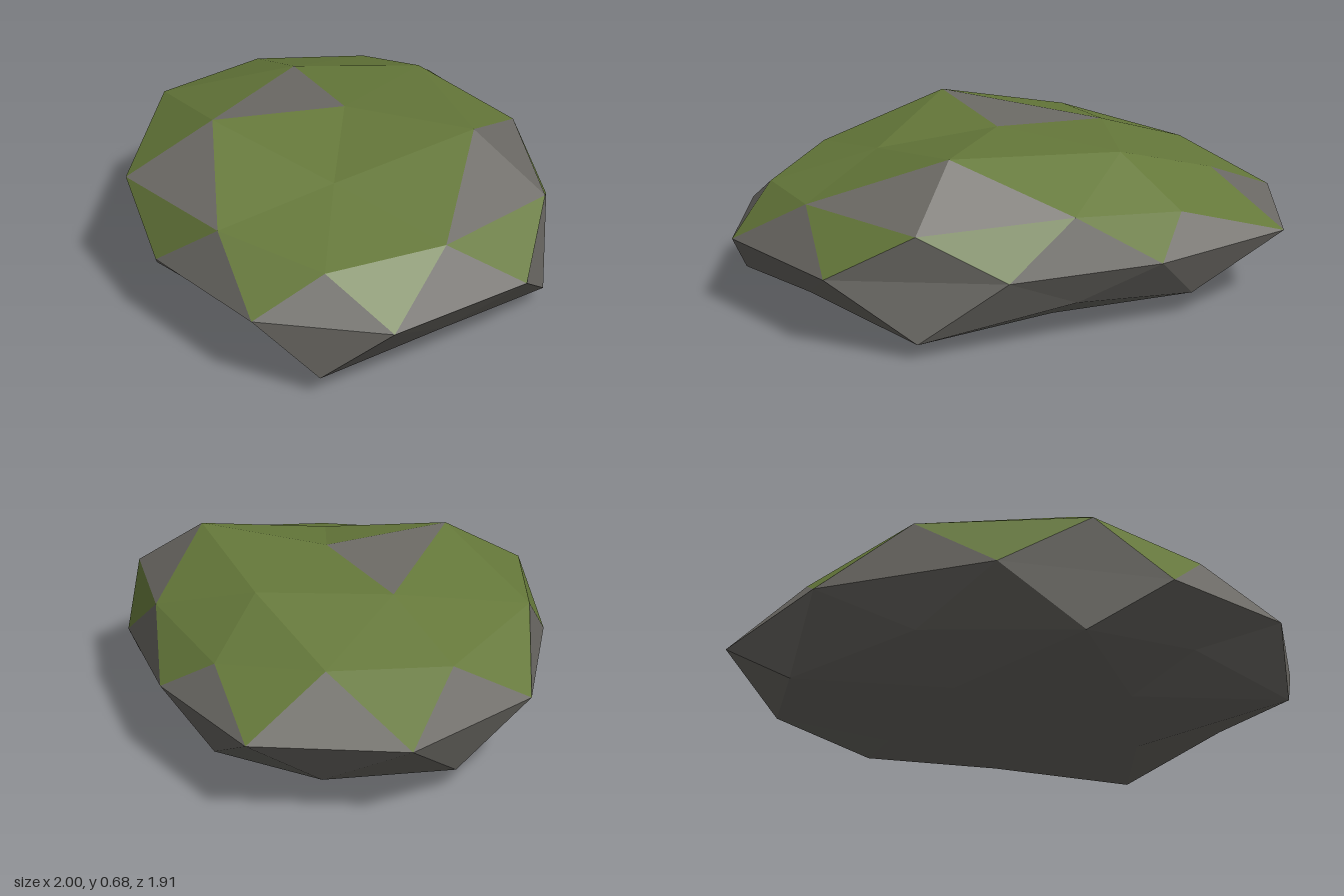
import * as THREE from 'three';

// Cross-section rings of the boulder as [x, y, z], running left-front-right-back seen from above.
const crown = [0.02, 0.655, 0.05];
const crownRing = [ // one point above every odd shoulder point
  [-0.20, 0.68, 0.53], [0.34, 0.575, 0.40], [0.53, 0.68, -0.14], [-0.09, 0.625, -0.47], [-0.46, 0.61, -0.11],
];
const shoulder = [
  [-0.77, 0.53, 0.33], [-0.35, 0.49, 0.84], [0.20, 0.49, 0.84], [0.63, 0.45, 0.71], [0.83, 0.49, 0.31],
  [0.82, 0.48, -0.23], [0.34, 0.50, -0.58], [-0.13, 0.43, -0.73], [-0.55, 0.475, -0.59], [-0.85, 0.47, -0.24],
];
const rim = [ // rim[i] lies between shoulder[i] and shoulder[i + 1]
  [-0.63, 0.64], [-0.05, 0.94], [0.51, 0.95], [0.91, 0.64], [1.0, 0.06],
  [0.61, -0.49], [0.09, -0.80], [-0.51, -0.96], [-0.97, -0.61], [-1.0, 0.04],
].map(([x, z]) => [x, 0.3, z]);
const foot = [
  [-0.72, 0.13, 0.29], [-0.31, 0.09, 0.75], [0.20, 0.15, 0.79], [0.70, 0.085, 0.80], [0.83, 0.14, 0.31],
  [0.83, 0.07, -0.24], [0.31, 0.155, -0.57], [-0.16, 0.10, -0.77], [-0.65, 0.13, -0.72], [-0.89, 0.08, -0.26],
];
const baseRing = [ // one point below every even foot point
  [-0.47, 0.005, 0.20], [0.10, 0.015, 0.55], [0.48, 0.025, 0.18], [0.19, 0.02, -0.36], [-0.34, 0.01, -0.38],
];
const base = [0.02, 0.003, 0.03];

// Facets gathered into one flat-shaded mesh
function facetMesh(name, triangles, material) {
  const geometry = new THREE.BufferGeometry();
  geometry.setAttribute('position', new THREE.Float32BufferAttribute(triangles.flat(2), 3));
  geometry.computeVertexNormals();
  const mesh = new THREE.Mesh(geometry, material);
  mesh.name = name;
  return mesh;
}

// Cap of 20 facets: a pole, an inner ring of 5 and an outer ring of 10.
// 'offset' is the outer index lined up with inner point 0.
function capFacets(pole, inner, outer, offset) {
  const facets = [];
  for (let k = 0; k < 5; k++) {
    const a = inner[k], b = inner[(k + 1) % 5];
    const i = 2 * k + offset;
    const u = outer[i % 10], mid = outer[(i + 1) % 10], v = outer[(i + 2) % 10];
    facets.push([pole, a, b], [a, u, mid], [a, mid, b], [b, mid, v]);
  }
  return facets;
}

export function createModel() {
  const stone = new THREE.MeshStandardMaterial({ color: 0x6c6a65 });
  stone.name = 'grey stone';
  const moss = new THREE.MeshStandardMaterial({ color: 0x65783a });
  moss.name = 'green moss';

  const mossTop = [], stonePatches = [], stoneBase = [];

  // Crown: mossy apart from four bare facets
  const bare = new Set([1, 7, 9, 16]);
  capFacets(crown, crownRing, shoulder, 1).forEach((f, i) => (bare.has(i) ? stonePatches : mossTop).push(f));

  // Sides: moss hangs down between bare triangles, all stone below the rim
  for (let i = 0; i < 10; i++) {
    const j = (i + 1) % 10;
    mossTop.push([shoulder[i], rim[i], shoulder[j]]);
    stonePatches.push([shoulder[j], rim[i], rim[j]]);
    stoneBase.push([foot[i], foot[j], rim[i]], [foot[j], rim[j], rim[i]]);
  }

  // Underside, with the corner order reversed to face down
  capFacets(base, baseRing, foot, 0).forEach(([a, b, c]) => stoneBase.push([a, c, b]));

  const boulder = new THREE.Group();
  boulder.name = 'mossy boulder';
  boulder.add(
    facetMesh('mossTop', mossTop, moss),
    facetMesh('stonePatches', stonePatches, stone),
    facetMesh('stoneBase', stoneBase, stone),
  );
  return boulder;
}
